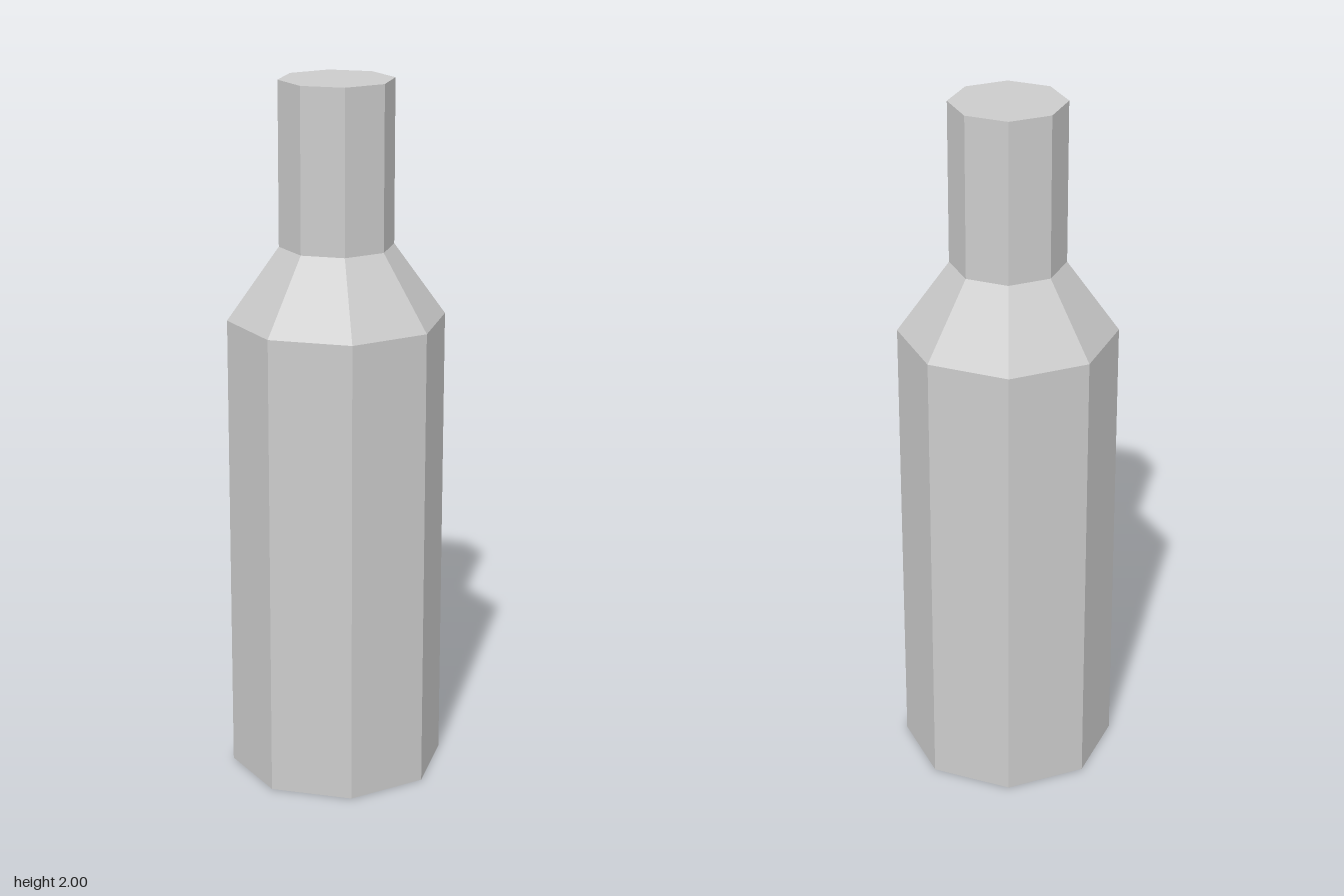
import * as THREE from 'three';

export function createModel() {
  const group = new THREE.Group();
  group.name = 'bottle';

  // Closed eight-sided outline: base, body, shoulder, neck, top
  const profile = [
    [0, 0],
    [0.307, 0],
    [0.307, 1.335],
    [0.161, 1.54],
    [0.161, 2],
    [0, 2],
  ].map(([r, y]) => new THREE.Vector2(r, y));

  const bottle = new THREE.Mesh(
    new THREE.LatheGeometry(profile, 8),
    new THREE.MeshStandardMaterial({ color: 0xcccccc, flatShading: true })
  );
  bottle.name = 'bottleBody';
  group.add(bottle);

  return group;
}
